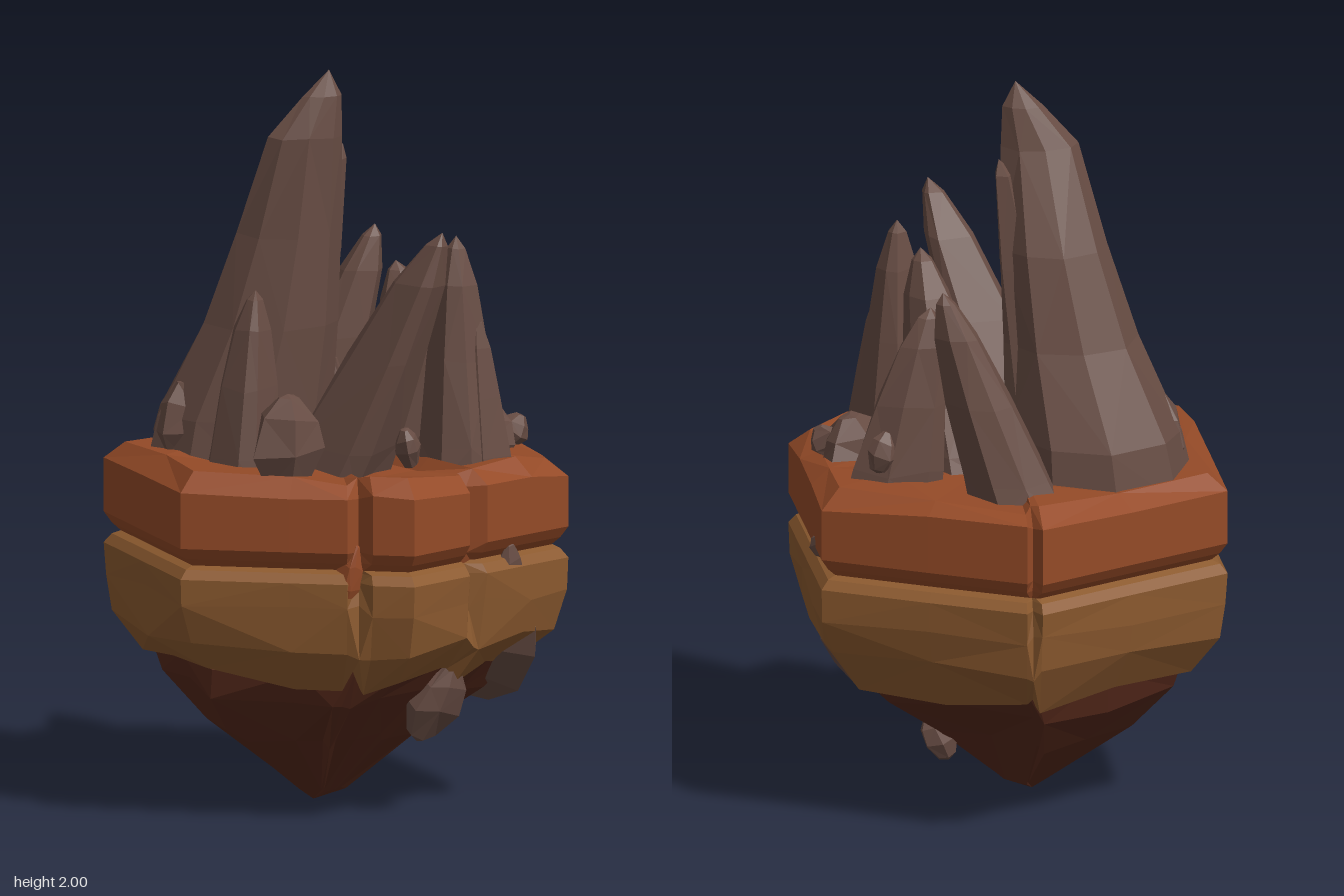
import * as THREE from 'three';

let seed = 7;
const rnd = () => {
  seed = (seed * 16807) % 2147483647;
  return seed / 2147483647 - 0.5;
};

const mat = (color) => new THREE.MeshStandardMaterial({ color, flatShading: true });
const RUST = mat(0x944a27), OCHRE = mat(0x8c5a2f), EARTH = mat(0x56291b), STONE = mat(0x674c43);

// Skin a stack of rings (bottom to top, counterclockwise seen from above) with flat facets.
function skin(rings) {
  const pos = [];
  const tri = new THREE.Triangle();
  const add = (a, b, c) => {
    if (tri.set(a, b, c).getArea() > 1e-7) for (const p of [a, b, c]) pos.push(p.x, p.y, p.z);
  };
  for (let i = 0; i + 1 < rings.length; i++) {
    const lo = rings[i], hi = rings[i + 1], n = lo.length;
    for (let j = 0; j < n; j++) {
      const k = (j + 1) % n;
      if ((i + j) % 2) { add(lo[j], lo[k], hi[k]); add(lo[j], hi[k], hi[j]); }
      else { add(lo[j], lo[k], hi[j]); add(lo[k], hi[k], hi[j]); }
    }
  }
  const g = new THREE.BufferGeometry();
  g.setAttribute('position', new THREE.Float32BufferAttribute(pos, 3));
  g.computeVertexNormals();
  return g;
}

// Hexagon outline [x, z, fissure depth]; fissures at front right, back and front left.
const OUTLINE = [
  [0, 0.64, 0], [0.2, 0.52, 0], [0.225, 0.505, 0.08], [0.26, 0.49, 0], [0.42, 0.395, 0], [0.55, 0.32, 0],
  [0.55, 0.1, 0], [0.55, -0.12, 0], [0.55, -0.32, 0], [0.28, -0.48, 0], [0.03, -0.622, 0], [0.012, -0.632, 0.06],
  [-0.01, -0.638, 0], [-0.28, -0.48, 0], [-0.56, -0.32, 0], [-0.56, 0, 0], [-0.56, 0.32, 0], [-0.3, 0.468, 0],
  [-0.16, 0.545, 0], [-0.13, 0.565, 0.08], [-0.1, 0.583, 0],
];

function named(name, geometry, material) {
  const m = new THREE.Mesh(geometry, material);
  m.name = name;
  return m;
}

// Layer rows: [y, scale, fissure opening, centre x, jitter of height, jitter of scale]
function layer(name, rows, material) {
  const rings = rows.map(([y, s, open = 0, cx = 0, jy = 0, js = 0]) =>
    OUTLINE.map(([x, z, depth]) => {
      const r = s * (1 - depth * open) * (1 + js * rnd());
      return new THREE.Vector3(cx + x * r, y + jy * rnd(), z * r);
    }));
  return named(name, skin(rings), material);
}

// Rock shaft from rows [y, centre x, centre z, radius x, radius z]; zero radius closes it.
function shaft(name, rows, sides, rough, material = STONE) {
  const turn = rnd() * 2;
  const wobble = Array.from({ length: sides }, () => [1 + rough * rnd(), (0.7 * rnd()) / sides]);
  const rings = rows.map(([y, cx, cz, rx, rz]) =>
    wobble.map(([w, shift], j) => {
      const a = turn + (j / sides + shift) * Math.PI * 2, r = w * (1 + rough * 0.6 * rnd());
      return new THREE.Vector3(cx + Math.sin(a) * rx * r, y + rough * rx * rnd(), cz + Math.cos(a) * rz * r);
    }));
  return named(name, skin(rings), material);
}

// Leaning spire from a base [x, z, rx, rz] to a tip [x, y, z], chiselled at the top
function spire([bx, bz, rx, rz], [tx, ty, tz], sides) {
  const y0 = 0.9;
  const rows = [[0, 1.07], [0.15, 1], [0.5, 0.77], [0.8, 0.5], [0.95, 0.22], [1, 0]].map(([t, s]) => [
    y0 + (ty - y0) * t, bx + (tx - bx) * t, bz + (tz - bz) * t, rx * s, rz * s,
  ]);
  return shaft('spire', rows, sides, 0.14);
}

// Faceted boulder with a size, place and rotation
function boulder(name, size, place, turn, material) {
  const rows = [[-1, 0, 0, 0, 0], [-0.8, 0, 0, 0.55, 0.55], [-0.1, 0, 0, 1, 1], [0.5, 0.05, 0, 0.8, 0.8], [0.95, 0.1, 0, 0.3, 0.3], [1, 0.1, 0, 0, 0]];
  const m = shaft(name, rows, 6, 0.25, material);
  m.scale.set(...size);
  m.position.set(...place);
  m.rotation.set(...turn);
  return m;
}

export function createModel() {
  seed = 7;
  const model = new THREE.Group();
  model.name = 'floatingRockIsland';

  // Hexagonal ground: rust slab, ochre band and dark tapering underside
  model.add(layer('topSlab', [
    [0.7, 0.9], [0.735, 0.965, 0.6], [0.765, 1, 1], [0.915, 1, 1, 0, 0.025], [0.96, 0.9, 0.7, 0, 0.03, 0.06],
    [0.955, 0.6, 0, 0, 0.04, 0.1], [0.95, 0],
  ], RUST));
  model.add(layer('middleBand', [
    [0.39, 0.5], [0.395, 0.8, 0, -0.01, 0.07, 0.07], [0.49, 0.955, 0, 0, 0.05, 0.05], [0.6, 0.99, 0.6, 0, 0.04, 0.015],
    [0.68, 1, 1], [0.705, 0.965, 0.8], [0.72, 0.9], [0.72, 0],
  ], OCHRE));
  model.add(layer('underside', [
    [0, 0, 0, -0.07], [0.035, 0.11, 0, -0.05, 0.01, 0.1], [0.2, 0.465, 0, -0.055, 0.04, 0.1],
    [0.33, 0.71, 0, -0.035, 0.05, 0.08], [0.42, 0.8, 0, 0, 0.03], [0.5, 0.6],
  ], EARTH));

  // Tallest spire, leaning inward to a chiselled tip
  model.add(shaft('mainSpire', [
    [0.9, -0.23, -0.175, 0.255, 0.245], [1.05, -0.215, -0.17, 0.24, 0.235], [1.3, -0.16, -0.11, 0.185, 0.175],
    [1.55, -0.12, -0.07, 0.145, 0.13], [1.82, -0.09, -0.01, 0.105, 0.065], [1.93, -0.045, 0, 0.055, 0.035], [2, -0.025, 0, 0, 0],
  ], 9, 0.06));
  model.add(shaft('mainSpireShard', [
    [1.1, -0.09, -0.15, 0.1, 0.1], [1.5, -0.03, -0.08, 0.07, 0.07], [1.75, 0.01, -0.04, 0.03, 0.03], [1.79, 0.025, -0.03, 0, 0],
  ], 5, 0.1));

  // Surrounding spires: base, tip, sides
  [
    [[0.01, -0.375, 0.13, 0.12], [0.22, 1.51, -0.33], 7],
    [[0.13, -0.065, 0.125, 0.16], [0.22, 1.51, 0.1], 7],
    [[-0.08, 0.18, 0.15, 0.14], [0.155, 1.61, 0.42], 7],
    [[0.28, 0.22, 0.11, 0.12], [0.27, 1.56, 0.2], 7],
    [[0.335, 0.28, 0.06, 0.065], [0.31, 1.35, 0.25], 5],
    [[0.33, -0.175, 0.135, 0.115], [0.235, 1.43, -0.2], 8],
    [[-0.315, 0.135, 0.105, 0.1], [-0.28, 1.43, 0.13], 7],
  ].forEach((s) => model.add(spire(...s)));

  // Boulders resting on the ground
  [
    [[0.115, 0.1, 0.1], [0.4, 0.97, 0.04], [0, 0.4, -0.15]],
    [[0.105, 0.14, 0.1], [-0.275, 1.04, 0.355], [0, 0.2, 0]],
    [[0.07, 0.13, 0.1], [-0.4, 1.02, -0.13], [0, 0.6, 0]],
    [[0.045, 0.06, 0.045], [0.37, 1.04, -0.25], [0, 0.3, 0.3]],
    [[0.035, 0.09, 0.04], [0.03, 1.1, -0.13], [0, 0.5, 0]],
    [[0.05, 0.05, 0.04], [0.48, 0.99, 0.05], [0, 0, -0.5]],
    [[0.04, 0.06, 0.04], [0.08, 1.01, 0.35], [0.2, 0, 0.3]],
  ].forEach((b) => model.add(boulder('groundBoulder', ...b, STONE)));

  // Stones stuck in the sides and underside
  [
    [[0.09, 0.19, 0.1], [0.385, 0.4, 0.2], [0.85, 0, -0.2]],
    [[0.08, 0.12, 0.06], [0.15, 0.31, 0.36], [0.3, 0, -0.3]],
    [[0.045, 0.07, 0.035], [0.2, 0.19, -0.12], [0, 0, -0.4]],
    [[0.035, 0.035, 0.06], [0.53, 0.765, -0.18], [0.4, 0, 0]],
    [[0.05, 0.09, 0.04], [0.36, 0.66, 0.39], [0.2, 0.5, 0.2]],
  ].forEach((b) => model.add(boulder('embeddedStone', ...b, STONE)));

  // Broken slab piece hanging in the front fissure
  model.add(boulder('slabFragment', [0.04, 0.12, 0.04], [-0.15, 0.67, 0.505], [0.1, 0, -0.2], RUST));

  return model;
}
